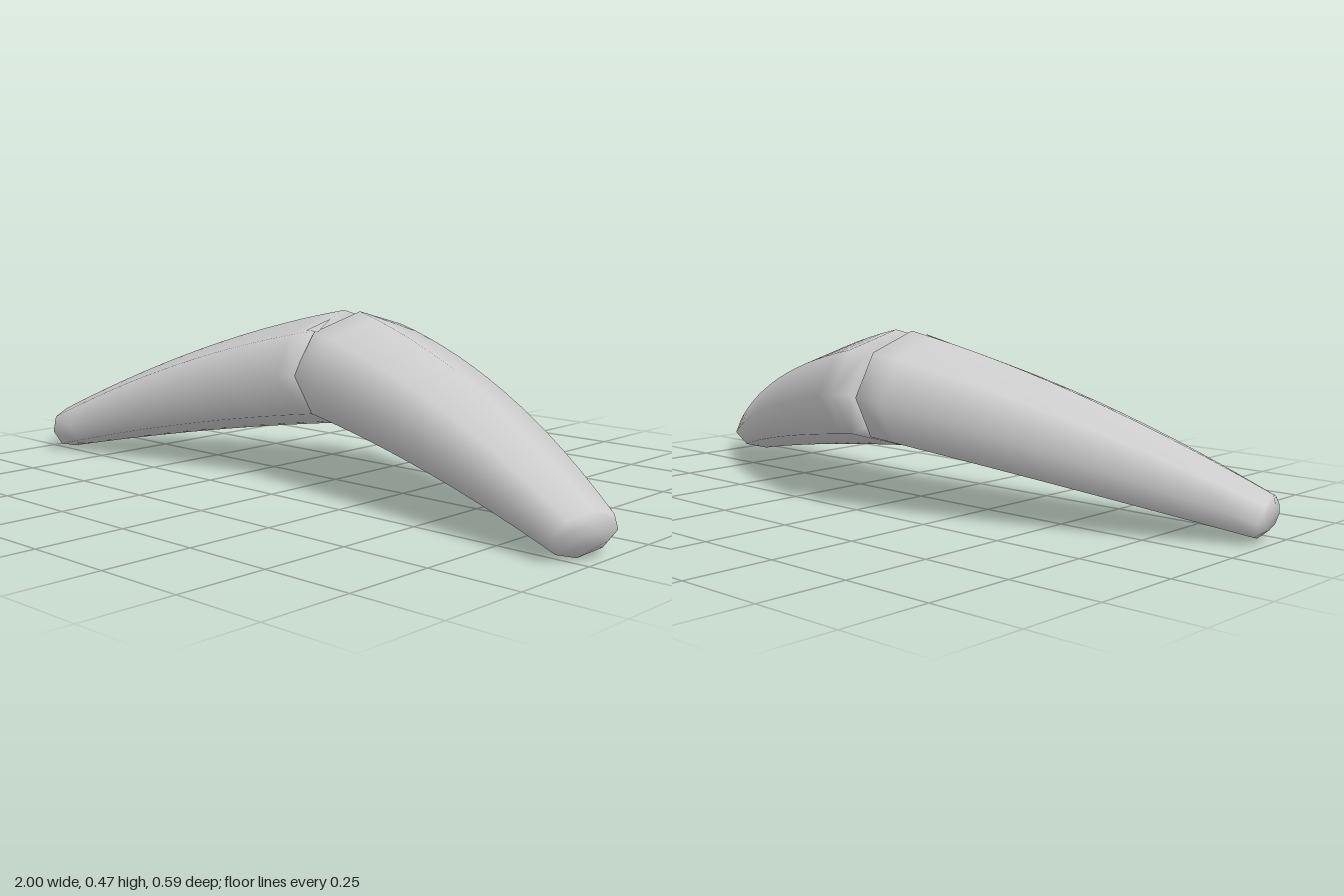
import * as THREE from 'three';

const SIDES = 8;
const STEPS = 14;

// Section: centre x, y, z; half height, half depth; x lean at the top and at the front
const innerFace = [0.0, 0.315, -0.068, 0.132, 0.185, 0.006, -0.02];
const innerRim = [0.022, 0.315, -0.068, 0.16, 0.2285, 0.008, -0.027];
const tipRim = [0.962, 0.06, 0.21, 0.058, 0.088, 0.02, -0.03];
const tipFace = [0.99, 0.066, 0.195, 0.034, 0.05, 0.007, -0.009];
// How far the middle of the arm bows away from a straight taper
const bow = [0, 0.025, -0.025, 0.015, 0.02, 0, 0];

function armSections() {
  const list = [innerFace];
  for (let i = 0; i <= STEPS; i++) {
    const t = i / STEPS;
    list.push(innerRim.map((v, k) => v + (tipRim[k] - v) * t + bow[k] * 4 * t * (1 - t)));
  }
  list.push(tipFace);
  return list;
}

// Loft eight-sided sections into a closed, smooth arm; side is 1 or -1
function armGeometry(side) {
  const sections = armSections();
  const pos = [];
  const index = [];
  const tri = (a, b, c) => (side > 0 ? index.push(a, b, c) : index.push(a, c, b));

  for (const [cx, cy, cz, ry, rz, top, front] of sections) {
    for (let j = 0; j < SIDES; j++) {
      const a = (j / SIDES) * Math.PI * 2;
      const c = Math.cos(a);
      const s = Math.sin(a);
      pos.push(side * (cx + top * c + front * s), cy + ry * c, cz + rz * s);
    }
  }
  const last = sections.length - 1;
  for (let i = 0; i < last; i++) {
    for (let j = 0; j < SIDES; j++) {
      const k = (j + 1) % SIDES;
      const a = i * SIDES + j;
      const b = i * SIDES + k;
      tri(a, b, a + SIDES);
      tri(b, b + SIDES, a + SIDES);
    }
  }
  // Close both ends with fans
  const start = pos.length / 3;
  for (const s of [sections[0], sections[last]]) pos.push(side * s[0], s[1], s[2]);
  for (let j = 0; j < SIDES; j++) {
    const k = (j + 1) % SIDES;
    tri(start, k, j);
    tri(start + 1, last * SIDES + j, last * SIDES + k);
  }

  const geo = new THREE.BufferGeometry();
  geo.setAttribute('position', new THREE.Float32BufferAttribute(pos, 3));
  geo.setIndex(index);
  geo.computeVertexNormals();
  return geo;
}

export function createModel() {
  const group = new THREE.Group();
  group.name = 'curvedArms';
  const grey = new THREE.MeshStandardMaterial({ color: 0xcccccc, side: THREE.DoubleSide });
  grey.name = 'light grey';

  for (const side of [1, -1]) {
    const arm = new THREE.Mesh(armGeometry(side), grey);
    arm.name = side > 0 ? 'leftArm' : 'rightArm';
    group.add(arm);
  }

  // Small triangular fold where the arms meet on top
  const shape = new THREE.Shape();
  shape.moveTo(-0.024, 0);
  shape.lineTo(0.024, 0);
  shape.lineTo(0, 0.08);
  const fold = new THREE.Mesh(new THREE.ShapeGeometry(shape), grey);
  fold.name = 'centreFold';
  fold.position.set(0, 0.43, 0.093);
  fold.rotation.x = -1.2;
  group.add(fold);

  return group;
}
